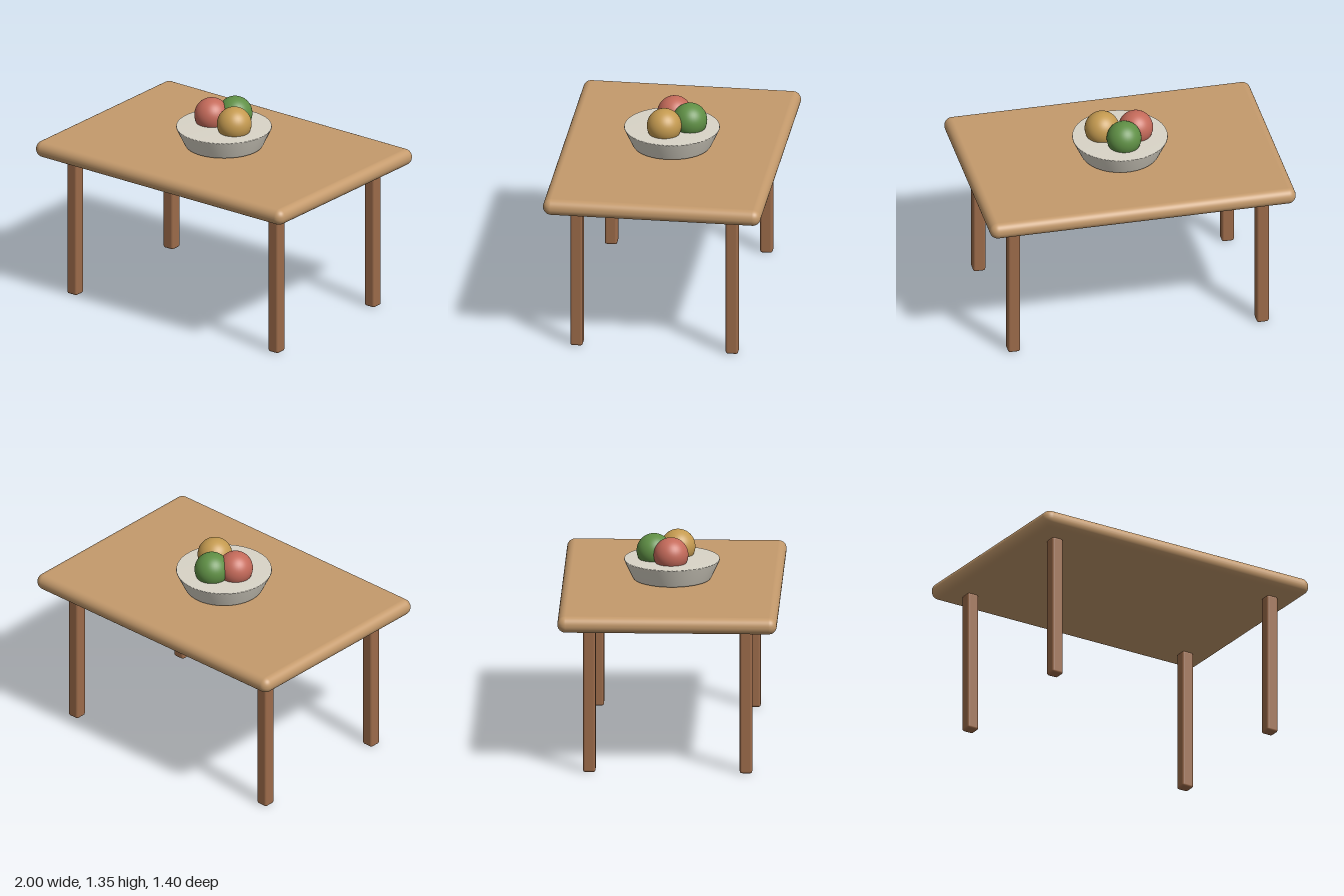
import * as THREE from 'three';
import { RoundedBoxGeometry } from 'three/addons/geometries/RoundedBoxGeometry.js';

const paint = (color) => new THREE.MeshStandardMaterial({ color });

export function createModel() {
  const model = new THREE.Group();
  model.name = 'tableWithFruitBowl';

  const add = (name, geometry, material, x, y, z) => {
    const mesh = new THREE.Mesh(geometry, material);
    mesh.name = name;
    mesh.position.set(x, y, z);
    model.add(mesh);
  };

  // Thick top with fully rounded edges
  add('tableTop', new RoundedBoxGeometry(2, 0.107, 1.4, 6, 0.052), paint(0xc49a6c), 0, 1.003, 0);

  // Four square legs with softened corners
  const legGeometry = new RoundedBoxGeometry(0.08, 0.95, 0.08, 3, 0.015);
  const legPaint = paint(0x9c6b4a);
  for (const [side, x] of [['left', 0.813], ['right', -0.813]]) {
    for (const [end, z] of [['Front', 0.5], ['Back', -0.5]]) {
      add(`${side}${end}Leg`, legGeometry, legPaint, x, 0.475, z);
    }
  }

  // Shallow flared bowl, filled level with its rim
  const bowlProfile = [
    [0, 0], [0.235, 0], [0.247, 0.004], [0.254, 0.014],
    [0.305, 0.122], [0.304, 0.13], [0, 0.13],
  ].map(([r, y]) => new THREE.Vector2(r, y));
  add('bowl', new THREE.LatheGeometry(bowlProfile, 64), paint(0xd9d4c7), 0, 1.06, 0);

  // Three fruits resting against each other
  const fruitGeometry = new THREE.SphereGeometry(0.111, 40, 28);
  add('redFruit', fruitGeometry, paint(0xc46a5a), -0.102, 1.24, -0.003);
  add('yellowFruit', fruitGeometry, paint(0xc49a50), 0.11, 1.24, 0.035);
  add('greenFruit', fruitGeometry, paint(0x5f8f45), 0, 1.24, -0.115);

  return model;
}
